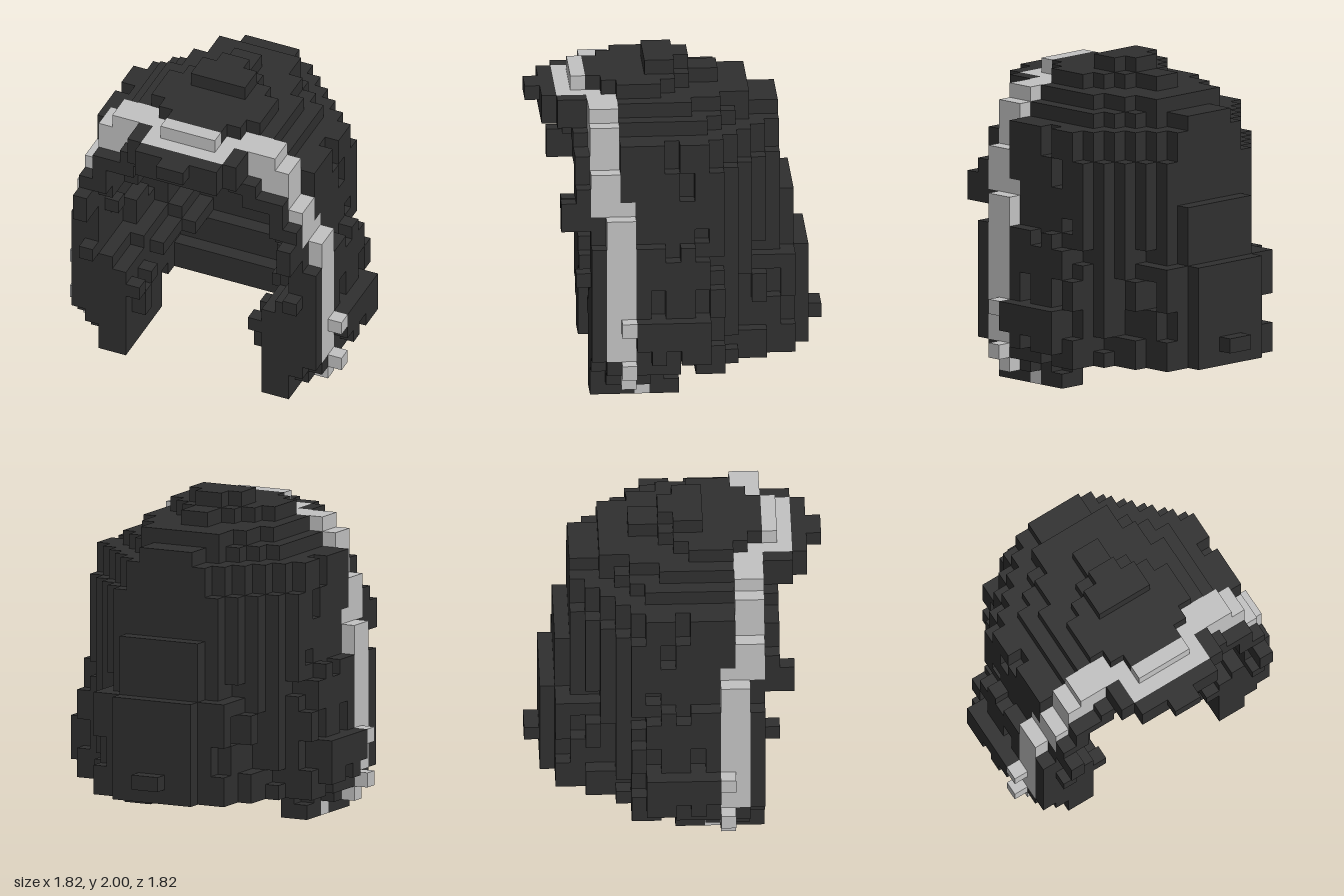
import * as THREE from 'three';

const U = 1 / 11; // one block

// Half-widths of the rounded back of the head, row by row from the rear
const REAR = [3, 5, 5, 6, 6, 7, 9, 10];

// Height bands: the rearmost row, how the width grows from there, its limit,
// and the width at the band and in front of it
const LEVELS = [
  { top: 2, back: -9, start: 3, grow: 2, cap: 9, front: 9 },
  { top: 5, back: -9, start: 3, grow: 2, cap: 10, front: 9 },
  { top: 8, back: -9, start: 3, grow: 2, cap: 9, front: 9 },
  { top: 10, back: -8, start: 3, grow: 1, cap: 9, front: 9 },
  { top: 12, back: -8, start: 3, grow: 1, cap: 8, front: 9 },
  { top: 15, back: -7, start: 4, grow: 1, cap: 8, front: 8 },
  { top: 17, back: -7, start: 3, grow: 1, cap: 8, front: 7 },
  { top: 18, back: -7, start: 2, grow: 0.8, cap: 6, front: 7 },
  { top: 19, back: -5, start: 3, grow: 0.5, cap: 5, front: 6 },
  { top: 20, back: -3, start: 1, grow: 0.8, cap: 4, front: 3 },
  { top: 21, back: -1, start: 1, grow: 1, cap: 2, front: 0 },
];

// First row of the headband at each height
const bandStart = (y) => (y === 0 || y === 21 ? 2 : y < 14 ? 3 : 4);

function isBand(i, y, z, w) {
  const first = bandStart(y);
  const depth = y < 3 ? 1 : y === 13 ? 3 : 2;
  if (y > 19 || z < first || z >= first + depth) return false;
  return i >= w - Math.max(1, y - 15);
}

function outer(y, z) {
  if (y < 2) { // side locks
    if (z < 0) return 0;
    return y === 0 ? 7 : 9 - Math.abs(z - 3);
  }
  if (y === 2 && z === -1) return 0;
  if (z === 3 && (y === 2 || y === 5)) return 10;
  const { back, start, grow, cap, front } = LEVELS.find((l) => y <= l.top);
  if (z < back) return 0;
  if (z >= bandStart(y)) {
    const tucked = z === 5 && (y === 2 || y === 11 || y === 12 || y === 20);
    return front - (tucked ? 1 : 0);
  }
  return Math.min(cap, REAR[z + 9] ?? cap, start + Math.floor(grow * (z - back)));
}

// Half-width of the face opening: a flat back wall with cut corners over steps
function inner(y, z) {
  if (y < 2) return 5;
  const back = Math.max(-4, -1 - (y >> 1));
  if (y > 17 || z < back) return 0;
  if (y < 6) return 5;
  // notches where the band shows through
  if (z === 3 && (y === 10 || y === 11)) return 8;
  if (z === 4 && y === 15) return 7;
  const wall = Math.min(6, y - 3, 20 - y);
  const flare = z < -1 ? 0 : z < 2 || y > 14 ? 1 : 2;
  return Math.min(y > 12 ? 6 : 7, wall + flare);
}

// Repeatable noise for the uneven tufts
function noise(a, b) {
  const s = Math.sin(a * 12.99 + b * 78.23) * 43758.55;
  return s - Math.floor(s);
}

// Adds a row of blocks on both sides of the middle
function putRow(set, from, to, y, z) {
  for (let i = from; i < to; i++) {
    set.add(`${i},${y},${z}`);
    set.add(`${-1 - i},${y},${z}`);
  }
}

// Turns a set of blocks into a mesh of its uncovered faces
function blockMesh(name, set, all, material) {
  const pos = [], idx = [];
  for (const key of set) {
    const c = key.split(',').map(Number);
    for (let axis = 0; axis < 3; axis++) {
      for (const s of [-1, 1]) {
        const next = c.slice();
        next[axis] += s;
        if (all.has(next.join(','))) continue;
        const u = (axis + 1) % 3, v = (axis + 2) % 3, n = pos.length / 3;
        for (let k = 0; k < 4; k++) {
          const p = c.slice();
          if (s > 0) p[axis] += 1;
          if (k === 1 || k === 2) p[u] += 1;
          if (k > 1) p[v] += 1;
          pos.push(p[0] * U, p[1] * U, p[2] * U);
        }
        if (s > 0) idx.push(n, n + 1, n + 2, n, n + 2, n + 3);
        else idx.push(n, n + 2, n + 1, n, n + 3, n + 2);
      }
    }
  }
  const geometry = new THREE.BufferGeometry();
  geometry.setAttribute('position', new THREE.Float32BufferAttribute(pos, 3));
  geometry.setIndex(idx);
  geometry.computeVertexNormals();
  const mesh = new THREE.Mesh(geometry, material);
  mesh.name = name;
  return mesh;
}

export function createModel() {
  const dark = new THREE.MeshStandardMaterial({ color: 0x303030 });
  dark.name = 'charcoal';
  const light = new THREE.MeshStandardMaterial({ color: 0xc3c3c3 });
  light.name = 'light grey';

  const hair = new Set(), band = new Set(), fringe = new Set(), crown = new Set();

  // Hair shell with the band running over it
  for (let y = 0; y < 22; y++) {
    for (let z = -9; z <= 5; z++) {
      const w = outer(y, z);
      let hole = inner(y, z);
      // loose tufts inside
      if (hole > 0 && z > -3 && y > 2 && noise(z + 40, y) > 0.9) hole -= 1;
      for (let i = hole; i < w; i++) {
        if (isBand(i, y, z, w)) {
          putRow(band, i, i + 1, y, z);
          continue;
        }
        // missing tufts outside
        const edge = i === w - 1 && w - hole > 1 && y > 2 && y < 18 && z < 3 && z > -9;
        if (edge && noise(z, y >> 1) < 0.3) continue;
        putRow(y === 21 ? crown : hair, i, i + 1, y, z);
      }
    }
  }
  // Tuft at the nape
  putRow(hair, 0, 1, 3, -10);

  // Locks framing the face
  putRow(fringe, 7, 8, 8, 6);
  for (const y of [12, 13]) {
    putRow(fringe, 7, 8, y, 6);
    putRow(fringe, 7, 8, y, 7);
  }
  putRow(fringe, 6, 8, 14, 6);
  putRow(fringe, 6, 7, 15, 6);
  putRow(fringe, 4, 7, 16, 6);
  putRow(fringe, 3, 5, 17, 6);

  // Peak over the forehead
  for (const z of [6, 7]) {
    putRow(fringe, 0, 4, 18, z);
    putRow(fringe, 3, 4, 19, z);
  }
  putRow(fringe, 0, 3, 18, 8);
  putRow(fringe, 0, 3, 19, 8);
  putRow(fringe, 0, 1, 19, 9);

  // Front of the band above the peak
  putRow(band, 0, 3, 19, 6);
  putRow(band, 0, 3, 19, 7);
  putRow(band, 0, 2, 20, 6);

  const all = new Set([...hair, ...band, ...fringe, ...crown]);
  const model = new THREE.Group();
  model.name = 'hairPiece';
  model.add(
    blockMesh('hairShell', hair, all, dark),
    blockMesh('headband', band, all, light),
    blockMesh('fringeAndPeak', fringe, all, dark),
    blockMesh('crownTuft', crown, all, dark),
  );
  return model;
}
